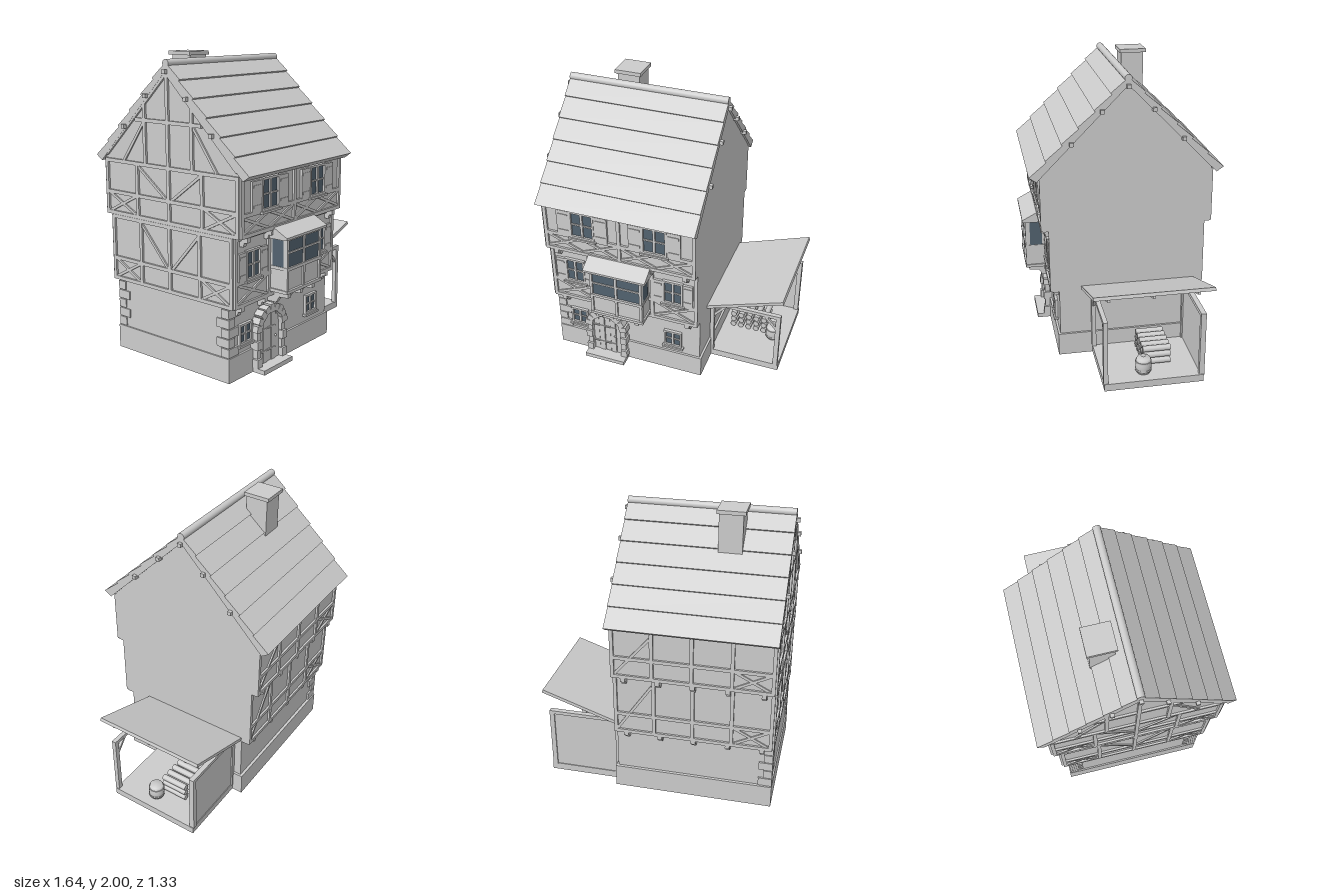
import * as THREE from 'three';

const stone = new THREE.MeshStandardMaterial({ color: 0xcccccc });
stone.name = 'pale grey';
const glass = new THREE.MeshStandardMaterial({ color: 0x52626f });
glass.name = 'window glass';

export function createModel() {
  const root = new THREE.Group();
  root.name = 'townHouse';
  const XL = -0.785, XR = 0.28, ZC = -0.02;

  const add = (geo, name, parent = root, mat = stone) => {
    const m = new THREE.Mesh(geo, mat);
    m.name = name;
    parent.add(m);
    return m;
  };
  // box given by its min and max along each axis
  const box = (name, x0, x1, y0, y1, z0, z1, parent = root, mat = stone) => {
    const m = add(new THREE.BoxGeometry(x1 - x0, y1 - y0, z1 - z0), name, parent, mat);
    m.position.set((x0 + x1) / 2, (y0 + y1) / 2, (z0 + z1) / 2);
    return m;
  };
  // profile in (z, y), swept along x from x0 to x1
  const sweepX = (name, pts, x0, x1, parent = root) => {
    const shape = new THREE.Shape(pts.map(p => new THREE.Vector2(p[0], p[1])));
    const m = add(new THREE.ExtrudeGeometry(shape, { depth: x1 - x0, bevelEnabled: false }), name, parent);
    m.rotation.y = -Math.PI / 2;
    m.position.x = x1;
    return m;
  };
  // facade: local x runs along the wall, local z points outwards
  const facade = (name, x, z, turn) => {
    const g = new THREE.Group();
    g.name = name;
    g.position.set(x, 0, z);
    g.rotation.y = turn;
    root.add(g);
    return g;
  };
  // timber lying on a facade between two points
  const timber = (g, u0, v0, u1, v1, w = 0.024, d = 0.014) => {
    const m = add(new THREE.BoxGeometry(Math.hypot(u1 - u0, v1 - v0), w, d), 'timber', g);
    m.position.set((u0 + u1) / 2, (v0 + v1) / 2, d / 2);
    m.rotation.z = Math.atan2(v1 - v0, u1 - u0);
  };
  const cross = (g, u0, v0, u1, v1) => {
    timber(g, u0, v0, u1, v1, 0.018, 0.010);
    timber(g, u0, v1, u1, v0, 0.018, 0.009);
  };

  // walls: each storey juts out at front and back
  box('plinth', -0.795, 0.295, 0, 0.16, -0.51, 0.465);
  box('groundFloor', XL, XR, 0.16, 0.485, -0.49, 0.45);
  box('middleFloor', XL, XR, 0.48, 0.935, -0.54, 0.497);
  sweepX('upperFloorAndGable', [[0.547, 0.93], [0.547, 1.35], [ZC, 1.91], [-0.587, 1.35], [-0.587, 0.93]], XL, XR);

  // roof with overlapping rows
  const rows = 6, side = [[0.6, 1.285]];
  for (let i = 0; i < rows; i++) {
    const at = t => [0.64 * (1 - t), 1.31 + 0.635 * t];
    const a = at(i / rows), b = at((i + 1) / rows);
    side.push([a[0] + 0.009, a[1] + 0.009], b);
  }
  const mirrored = side.slice(0, -1).reverse().map(p => [-p[0], p[1]]);
  sweepX('roof', [...side, ...mirrored, [0, 1.895]].map(p => [p[0] + ZC, p[1]]), -0.8, 0.295);
  const ridge = add(new THREE.CylinderGeometry(0.025, 0.025, 1.095, 20), 'ridge');
  ridge.rotation.z = Math.PI / 2;
  ridge.position.set(-0.2525, 1.94, ZC);
  for (const [z, y] of [[0, 1.89], [0.17, 1.735], [-0.17, 1.735], [0.37, 1.53], [-0.37, 1.53]])
    box('purlin', -0.822, 0.317, y - 0.013, y + 0.013, z + ZC - 0.013, z + ZC + 0.013);
  box('chimney', -0.497, -0.343, 1.6, 1.978, -0.25, -0.095);
  box('chimneyCap', -0.513, -0.33, 1.975, 2, -0.267, -0.083);

  const ground = facade('groundFront', 0, 0.45, 0);
  const midFront = facade('middleFront', 0, 0.497, 0);
  const topFront = facade('upperFront', 0, 0.547, 0);
  const midBack = facade('middleBack', 0, -0.54, Math.PI);
  const topBack = facade('upperBack', 0, -0.587, Math.PI);
  const left = facade('leftWall', XL, 0, -Math.PI / 2);

  // front timber frame
  for (const y of [0.497, 0.643, 0.92]) timber(midFront, XL, y, XR, y);
  for (const x of [-0.775, -0.45, -0.045, 0.268]) timber(midFront, x, 0.49, x, 0.93);
  cross(midFront, -0.765, 0.508, -0.46, 0.635);
  cross(midFront, -0.035, 0.508, 0.258, 0.635);
  for (const y of [0.945, 1.07, 1.295]) timber(topFront, XL, y, XR, y);
  for (const x of [-0.775, -0.25, 0.268]) timber(topFront, x, 0.94, x, 1.3);
  for (let i = 0; i < 4; i++) cross(topFront, -0.775 + i * 0.261, 0.955, -0.515 + i * 0.261, 1.06);

  // back timber frame
  for (const [g, y0, y1] of [[midBack, 0.495, 0.92], [topBack, 0.945, 1.295]]) {
    const rail = y0 + 0.135;
    for (const y of [y0, rail, y1]) timber(g, -XR, y, -XL, y);
    for (let i = 0; i < 5; i++) {
      const u = -0.268 + i * 0.2608;
      timber(g, u, y0, u, y1);
    }
    cross(g, 0.515, y0, 0.775, rail);
    timber(g, -0.268, y0, -0.02, y1 - 0.06, 0.018, 0.01);
  }

  // left side timber frame and gable
  for (const [a, b, y0, y1] of [[-0.54, 0.497, 0.495, 0.92], [-0.587, 0.547, 0.945, 1.295]]) {
    const rail = y0 + 0.14, step = (b - a - 0.024) / 4;
    for (const y of [y0, rail, y1]) timber(left, a, y, b, y);
    for (let i = 0; i < 5; i++) timber(left, a + 0.012 + i * step, y0, a + 0.012 + i * step, y1);
    cross(left, a + 0.012, y0, a + 0.012 + step, rail);
    cross(left, b - 0.012 - step, y0, b - 0.012, rail);
    timber(left, a + step, y1, a + 2 * step, rail, 0.018, 0.01);
    timber(left, b - step, y1, b - 2 * step, rail, 0.018, 0.01);
  }
  timber(left, -0.3, 1.58, 0.26, 1.58);
  timber(left, ZC, 1.3, ZC, 1.88);
  for (const s of [-1, 1]) {
    timber(left, ZC + s * 0.2, 1.3, ZC + s * 0.2, 1.69);
    timber(left, ZC + s * 0.555, 1.335, ZC, 1.885);
    timber(left, ZC + s * 0.4, 1.3, ZC + s * 0.2, 1.58, 0.018, 0.01);
  }

  // brackets below the jutting storeys
  const bracket = (g, u, top, depth, h = 0.06) => {
    sweepX('bracket', [[0, top], [0, top - h], [depth * 0.45, top - h], [depth * 0.6, top - h * 0.55],
      [depth, top - h * 0.5], [depth, top]].reverse(), u - 0.015, u + 0.015, g);
  };
  for (const x of [-0.715, -0.48, 0.205]) bracket(ground, x, 0.487, 0.06);
  for (const x of [-0.385, -0.25, -0.12]) bracket(ground, x, 0.525, 0.17, 0.09);
  for (const x of [-0.715, -0.475, -0.045, 0.205]) bracket(midFront, x, 0.93, 0.06);
  const groundBack = facade('groundBack', 0, -0.49, Math.PI);
  for (let i = 0; i < 5; i++) {
    bracket(groundBack, -0.2 + i * 0.23, 0.487, 0.06);
    bracket(midBack, -0.2 + i * 0.23, 0.935, 0.06);
  }

  // window: frame with hole, glass and bars
  const makeWindow = (g, cx, cy, w, h, shutter = 0) => {
    const win = new THREE.Group();
    win.name = 'window';
    win.position.set(cx, cy, 0);
    g.add(win);
    const rim = (a, b) => [[-a, -b], [a, -b], [a, b], [-a, b]].map(p => new THREE.Vector2(p[0], p[1]));
    const shape = new THREE.Shape(rim(w / 2, h / 2));
    shape.holes.push(new THREE.Path(rim(w / 2 - 0.014, h / 2 - 0.014)));
    add(new THREE.ExtrudeGeometry(shape, { depth: 0.02, bevelEnabled: false }), 'windowFrame', win);
    box('windowGlass', -w / 2 + 0.01, w / 2 - 0.01, -h / 2 + 0.01, h / 2 - 0.01, 0, 0.006, win, glass);
    box('mullion', -0.008, 0.008, -h / 2 + 0.01, h / 2 - 0.01, 0.004, 0.017, win);
    box('glazingBar', -w / 2 + 0.01, w / 2 - 0.01, -0.005, 0.005, 0.004, 0.015, win);
    box('sill', -w / 2 - 0.012, w / 2 + 0.012, -h / 2 - 0.014, -h / 2, 0, 0.03, win);
    if (shutter) for (const s of [-1, 1]) {
      const c = s * (w / 2 + shutter / 2);
      box('shutter', c - shutter / 2, c + shutter / 2, -h / 2 + 0.005, h / 2 - 0.008, 0, 0.016, win);
      for (const y of [-0.3, 0.3])
        box('shutterBatten', c - shutter * 0.4, c + shutter * 0.4, y * h - 0.008, y * h + 0.008, 0.014, 0.02, win);
    }
  };
  makeWindow(ground, -0.63, 0.285, 0.13, 0.135);
  makeWindow(ground, 0.085, 0.285, 0.13, 0.135);
  makeWindow(midFront, -0.61, 0.74, 0.145, 0.19, 0.068);
  makeWindow(midFront, 0.105, 0.74, 0.145, 0.19, 0.068);
  makeWindow(topFront, -0.507, 1.172, 0.175, 0.205, 0.092);
  makeWindow(topFront, 0, 1.172, 0.175, 0.205, 0.092);

  // oriel bay
  const bay = new THREE.Group();
  bay.name = 'orielBay';
  root.add(bay);
  box('bayBody', -0.435, -0.07, 0.53, 0.885, 0.49, 0.628, bay);
  box('bayFoot', -0.445, -0.06, 0.52, 0.54, 0.49, 0.645, bay);
  box('baySill', -0.442, -0.063, 0.67, 0.69, 0.49, 0.645, bay);
  box('bayHead', -0.44, -0.065, 0.863, 0.885, 0.49, 0.642, bay);
  box('bayGlass', -0.42, -0.085, 0.69, 0.863, 0.626, 0.632, bay, glass);
  box('baySideGlass', -0.438, -0.067, 0.69, 0.863, 0.525, 0.615, bay, glass);
  for (const x of [-0.43, -0.2525, -0.075]) box('bayMullion', x - 0.009, x + 0.009, 0.54, 0.87, 0.61, 0.641, bay);
  box('bayBar', -0.43, -0.075, 0.778, 0.79, 0.62, 0.639, bay);
  sweepX('bayRoof', [[0.49, 0.955], [0.49, 0.875], [0.64, 0.875], [0.662, 0.878], [0.662, 0.893], [0.545, 0.955]].reverse(), -0.475, -0.033, bay);

  // arched door
  const DX = -0.41, SPRING = 0.265, R = 0.108;
  box('doorStep', -0.56, -0.26, 0, 0.03, 0.45, 0.56);
  for (let i = 0; i < 5; i++) {
    const w = 2 * R / 5, u = -R + i * w;
    const edge = Math.max(Math.abs(u), Math.abs(u + w)), mid = Math.abs(u + w / 2);
    const top = SPRING + Math.sqrt(Math.max(0, R * R - Math.min(edge, mid) ** 2));
    box('doorPlank', DX + u + 0.002, DX + u + w - 0.002, 0.03, top, 0.45, i % 2 ? 0.482 : 0.477);
  }
  for (const y of [0.11, 0.26]) box('doorHinge', DX - R, DX + 0.06, y - 0.005, y + 0.005, 0.475, 0.486);
  const knob = add(new THREE.SphereGeometry(0.008, 12, 8), 'doorKnob');
  knob.position.set(DX + 0.06, 0.19, 0.487);
  for (const s of [-1, 1]) for (let i = 0; i < 4; i++) {
    const c = DX + s * (R + 0.02 + (i % 2 ? 0 : 0.004)), hw = i % 2 ? 0.018 : 0.023;
    box('jambStone', c - hw, c + hw, 0.032 + i * 0.06, 0.088 + i * 0.06, 0.44, i % 2 ? 0.5 : 0.51);
  }
  for (let i = 0; i < 9; i++) {
    const a = (i + 0.5) / 9 * Math.PI, r = R + 0.024;
    const s = add(new THREE.BoxGeometry(i % 2 ? 0.046 : 0.056, 0.043, 0.07), 'archStone');
    s.position.set(DX + Math.cos(a) * r, SPRING + Math.sin(a) * r, 0.475);
    s.rotation.z = a;
  }

  // corner stones on the left corners
  for (const [z, s] of [[0.45, 1], [-0.49, -1]]) for (let i = 0; i < 5; i++) {
    const w = i % 2 ? 0.05 : 0.085, d = i % 2 ? 0.085 : 0.05, y = 0.165 + i * 0.063;
    const ends = [z + s * 0.013, z - s * d];
    box('cornerStone', XL - 0.008, XL + w, y, y + 0.057, Math.min(...ends), Math.max(...ends));
  }

  // lean-to shed on the right
  const shed = new THREE.Group();
  shed.name = 'shed';
  root.add(shed);
  box('shedFloor', 0.28, 0.795, 0, 0.05, -0.435, 0.23, shed);
  box('shedBackWall', 0.28, 0.775, 0.05, 0.49, -0.43, -0.415, shed);
  for (const [z0, z1] of [[0.205, 0.235], [-0.44, -0.405]]) {
    box('shedPost', 0.757, 0.79, 0.045, 0.495, z0, z1, shed);
    box('shedPost', 0.285, 0.312, 0.045, 0.495, z0, z1, shed);
    box('shedBeam', 0.285, 0.79, 0.475, 0.5, z0, z1, shed);
  }
  const brace = facade('shedBraces', 0, 0.21, 0);
  timber(brace, 0.305, 0.375, 0.395, 0.478, 0.018, 0.018);
  timber(brace, 0.765, 0.375, 0.675, 0.478, 0.018, 0.018);
  const slope = new THREE.Group();
  slope.name = 'shedRoof';
  slope.position.set(0.275, 0.49, 0);
  slope.rotation.z = Math.atan2(0.185, 0.535);
  shed.add(slope);
  box('shedRoofSlab', 0, 0.57, -0.003, 0.02, -0.487, 0.3, slope);
  for (const z of [0.2, -0.092, -0.385]) box('shedRafter', 0, 0.545, -0.022, 0, z - 0.009, z + 0.009, slope);

  // firewood and barrel
  for (let r = 0; r < 3; r++) for (let i = 0; i < 5; i++) {
    const log = add(new THREE.CylinderGeometry(0.021, 0.021, 0.19, 16), 'log', shed);
    log.rotation.x = Math.PI / 2;
    log.position.set(0.375 + i * 0.058, 0.076 + r * 0.047, -0.155);
  }
  const stave = [[0, 0.05], [0.045, 0.05], [0.052, 0.078], [0.054, 0.103], [0.052, 0.128], [0.045, 0.157], [0, 0.157]];
  const barrel = add(new THREE.LatheGeometry(stave.map(p => new THREE.Vector2(p[0], p[1])), 24), 'barrel', shed);
  barrel.position.set(0.685, 0, -0.05);
  for (const y of [0.075, 0.131]) {
    const hoop = add(new THREE.CylinderGeometry(0.0545, 0.0545, 0.012, 24), 'barrelHoop', shed);
    hoop.position.set(0.685, y, -0.05);
  }
  return root;
}
